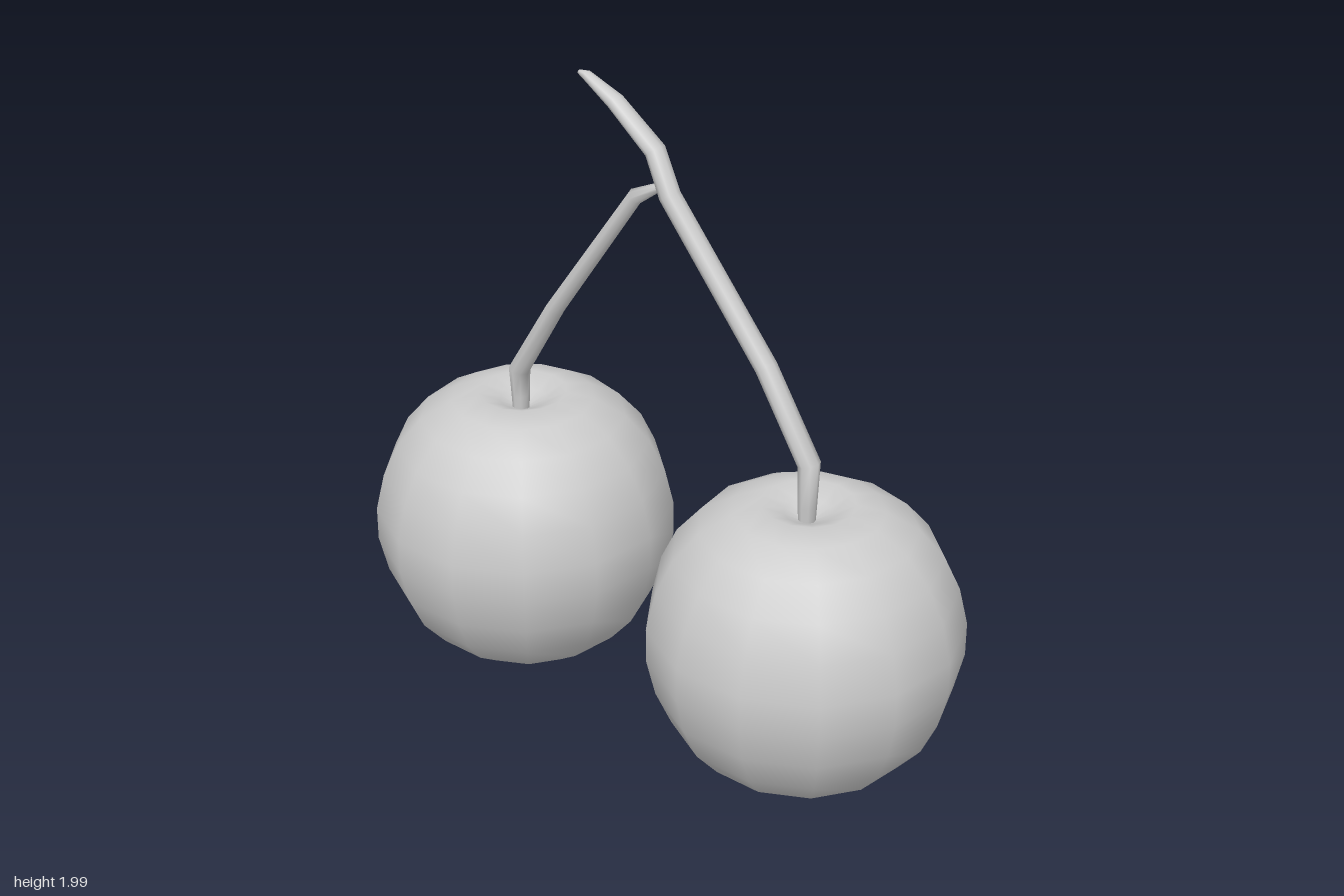
import * as THREE from 'three';
import { mergeVertices } from 'three/addons/utils/BufferGeometryUtils.js';

const material = new THREE.MeshStandardMaterial({ color: 0xcccccc, side: THREE.DoubleSide });

// Tapered tube through points [x, y, z, radius across x, radius in the bending plane]
function createStem(name, points) {
  const n = points.length - 1;
  const centres = points.map(([x, y, z]) => new THREE.Vector3(x, y, z));
  const geometry = new THREE.CylinderGeometry(1, 1, 1, 8, n, true);
  const pos = geometry.attributes.position;
  const across = new THREE.Vector3(1, 0, 0);
  for (let v = 0; v < pos.count; v++) {
    const i = Math.round((pos.getY(v) + 0.5) * n);
    const before = centres[Math.max(i - 1, 0)], after = centres[Math.min(i + 1, n)];
    // mitre each ring between the directions of its two neighbours
    const tangent = new THREE.Vector3();
    if (i > 0) tangent.add(centres[i].clone().sub(before).normalize());
    if (i < n) tangent.add(after.clone().sub(centres[i]).normalize());
    const normal = across.clone().cross(tangent.normalize()).normalize();
    const p = centres[i].clone()
      .addScaledVector(across, pos.getX(v) * points[i][3])
      .addScaledVector(normal, pos.getZ(v) * points[i][4]);
    pos.setXYZ(v, p.x, p.y, p.z);
  }
  geometry.deleteAttribute('uv');
  geometry.deleteAttribute('normal');
  const smooth = mergeVertices(geometry, 1e-5);
  smooth.computeVertexNormals();
  const mesh = new THREE.Mesh(smooth, material);
  mesh.name = name;
  return mesh;
}

// Round fruit with a dimple at the top
function createCherry(name, z) {
  const profile = [
    [0, 0.003], [0.11, 0.013], [0.215, 0.05], [0.315, 0.12], [0.388, 0.205],
    [0.435, 0.31], [0.462, 0.425], [0.462, 0.53], [0.435, 0.645], [0.388, 0.745],
    [0.315, 0.83], [0.22, 0.885], [0.135, 0.904], [0.07, 0.875], [0, 0.84],
  ].map(([r, y]) => new THREE.Vector2(r, y));
  const mesh = new THREE.Mesh(new THREE.LatheGeometry(profile, 13, Math.PI / 2), material);
  mesh.name = name;
  mesh.position.set(-0.006, 0, z);
  return mesh;
}

export function createModel() {
  const group = new THREE.Group();
  group.name = 'cherryPair';
  group.add(createCherry('frontCherry', 0.54), createCherry('backCherry', -0.54));

  // Main stem, running from the front cherry to the flattened tip
  group.add(createStem('mainStem', [
    [-0.012, 0.84, 0.54, 0.026, 0.024],
    [-0.012, 0.9, 0.54, 0.029, 0.027],
    [-0.01, 1.03, 0.54, 0.034, 0.033],
    [-0.01, 1.28, 0.385, 0.034, 0.031],
    [-0.01, 1.7, 0.04, 0.034, 0.029],
    [-0.01, 1.82, -0.012, 0.034, 0.027],
    [-0.01, 1.93, -0.155, 0.031, 0.021],
    [-0.01, 1.983, -0.26, 0.018, 0.012],
    [-0.01, 1.986, -0.285, 0.008, 0.006],
    [-0.01, 1.986, -0.286, 0.0005, 0.0005],
  ]));

  // Side stem, running from the back cherry up to the fork
  group.add(createStem('sideStem', [
    [-0.02, 0.84, -0.535, 0.026, 0.024],
    [-0.02, 0.9, -0.535, 0.029, 0.027],
    [-0.02, 0.985, -0.537, 0.033, 0.033],
    [-0.015, 1.23, -0.39, 0.031, 0.028],
    [-0.008, 1.665, -0.085, 0.026, 0.024],
    [-0.008, 1.715, 0.0, 0.018, 0.013],
    [-0.008, 1.725, 0.015, 0.0005, 0.0005],
  ]));
  return group;
}
